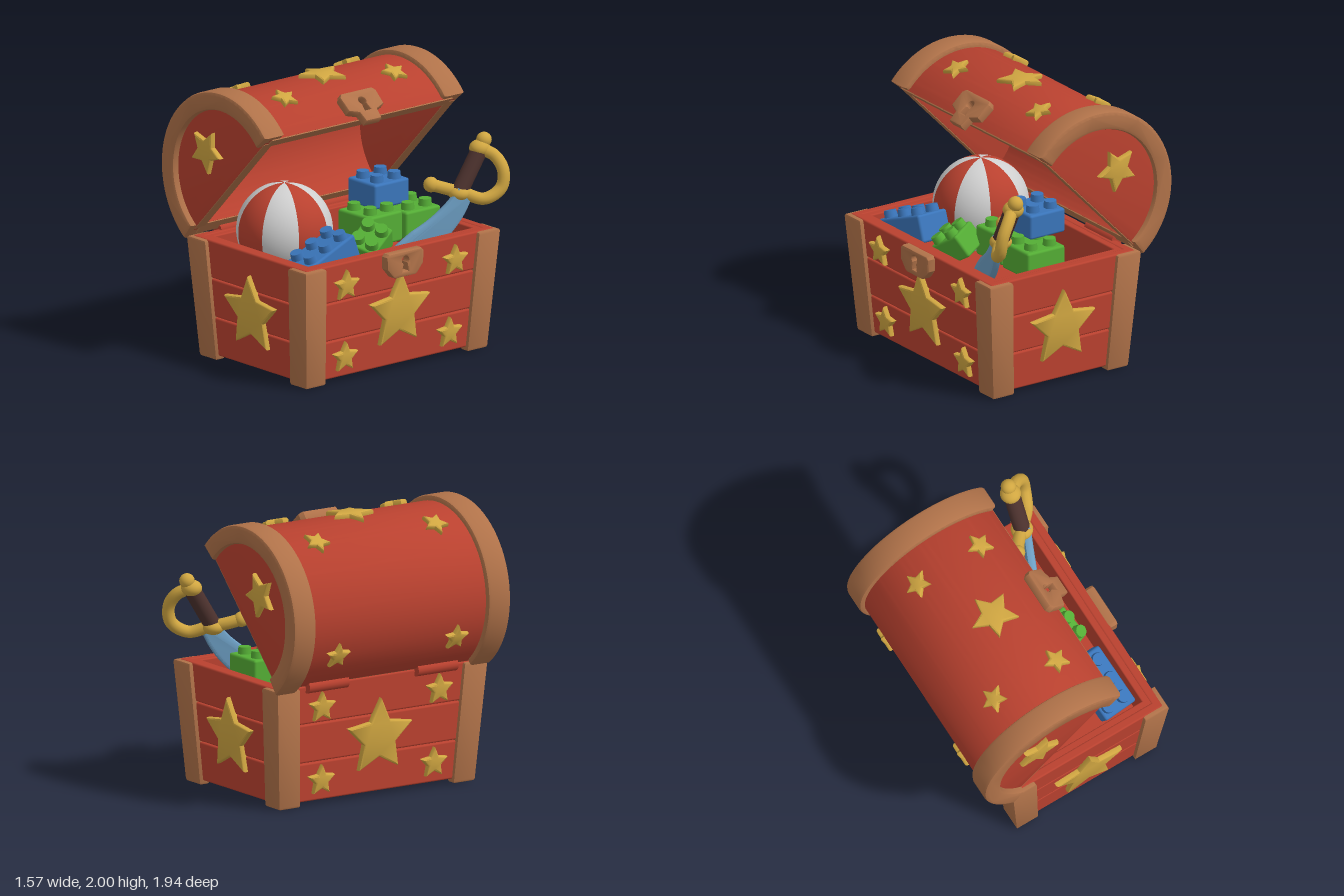
import * as THREE from 'three';
import { toCreasedNormals } from 'three/addons/utils/BufferGeometryUtils.js';
import { RoundedBoxGeometry } from 'three/addons/geometries/RoundedBoxGeometry.js';

const PI = Math.PI, rad = THREE.MathUtils.degToRad;
const CX = 0.105, CZ = 0.045;              // middle of the box
const LX = -0.15, LY = 1.36;               // axis of the lid barrel
const A0 = rad(40), A1 = rad(232);         // opening angles of the lid

function material(name, color) {
  const m = new THREE.MeshStandardMaterial({ color });
  m.name = name;
  return m;
}

function add(parent, name, geometry, mat, x = 0, y = 0, z = 0) {
  const m = new THREE.Mesh(geometry, mat);
  m.name = name;
  m.position.set(x, y, z);
  parent.add(m);
  return m;
}

function group(parent, name, x = 0, y = 0, z = 0) {
  const g = new THREE.Group();
  g.name = name;
  g.position.set(x, y, z);
  parent.add(g);
  return g;
}

// Extrusion with soft edges, filling z = 0..depth
function extrude(shape, depth, b) {
  const g = new THREE.ExtrudeGeometry(shape, {
    depth: depth - 2 * b, bevelEnabled: true, bevelThickness: b, bevelSize: b,
    bevelOffset: -b, bevelSegments: 2, curveSegments: 40,
  });
  g.translate(0, 0, b);
  return toCreasedNormals(g, 0.6);
}

const polygon = pts => new THREE.Shape(pts.map(p => new THREE.Vector2(p[0], p[1])));

function star(R, depth = 0.055) {
  const pts = [];
  for (let i = 0; i < 10; i++) {
    const r = i % 2 ? R * 0.5 : R, a = PI / 2 + i * PI / 5;
    pts.push([r * Math.cos(a), r * Math.sin(a)]);
  }
  return extrude(polygon(pts), depth, 0.016);
}

// Star laid around the barrel of the lid
function wrappedStar(R, angle, z0, flip) {
  const g = star(R), p = g.attributes.position;
  if (flip) g.rotateZ(PI);
  for (let i = 0; i < p.count; i++) {
    const a = angle + p.getY(i) / 0.6, r = 0.58 + p.getZ(i);
    p.setXYZ(i, LX + r * Math.cos(a), LY + r * Math.sin(a), z0 - p.getX(i));
  }
  return toCreasedNormals(g, 0.6);
}

// The box narrows towards the floor
const scaleX = y => 0.89 + 0.11 * y / 0.88;
const scaleZ = y => 0.93 + 0.07 * y / 0.88;
function taper(g) {
  const p = g.attributes.position;
  for (let i = 0; i < p.count; i++) {
    const y = p.getY(i);
    p.setXYZ(i, p.getX(i) * scaleX(y), y, p.getZ(i) * scaleZ(y));
  }
  return g;
}
function taperedBox(x0, x1, y0, y1, z0, z1, r) {
  const g = new RoundedBoxGeometry(x1 - x0, y1 - y0, z1 - z0, 2, r);
  g.translate((x0 + x1) / 2, (y0 + y1) / 2, (z0 + z1) / 2);
  return taper(g);
}

// Plate outline with a keyhole
function keyPlate(pts, ky) {
  const s = polygon(pts), h = new THREE.Path();
  h.moveTo(-0.026, ky - 0.06);
  h.lineTo(0.026, ky - 0.06);
  h.lineTo(0.018, ky);
  h.absarc(0, ky + 0.02, 0.03, -0.8, PI + 0.8, false);
  h.lineTo(-0.018, ky);
  s.holes.push(h);
  return s;
}

function arcBand(r0, r1) {
  const s = new THREE.Shape();
  s.absarc(0, 0, r1, A0, A1, false);
  s.absarc(0, 0, r0, A1, A0, true);
  return s;
}

function brick(parent, name, mat, pos, size, studs, rot) {
  const g = group(parent, name, ...pos);
  g.rotation.set(...rot);
  const [w, h, d] = size, [nx, nz] = studs;
  add(g, name + 'Block', new RoundedBoxGeometry(w, h, d, 2, 0.018), mat);
  for (let i = 0; i < nx; i++) for (let j = 0; j < nz; j++) {
    add(g, name + 'Stud', new THREE.CylinderGeometry(0.044, 0.05, 0.06, 16), mat,
      ((i + 0.5) / nx - 0.5) * w, h / 2 + 0.02, ((j + 0.5) / nz - 0.5) * d);
  }
}

export function createModel() {
  const red = material('red wood', 0xb9412f), brown = material('brown trim', 0xb07249);
  const gold = material('gold', 0xd0a641), white = material('white', 0xcfcfcf);
  const blue = material('blue', 0x3a75ba), green = material('green', 0x54ad35);
  const steel = material('blue steel', 0x6d9fc4), grip = material('dark grip', 0x4d322e);
  const model = new THREE.Group();
  model.name = 'toyChest';

  // Box: planked walls, floor, corner posts
  const box = group(model, 'box', CX, 0, CZ);
  for (const s of [-1, 1]) {
    const xs = (a, b) => s > 0 ? [a, b] : [-b, -a];
    add(box, 'innerWall', taperedBox(...xs(0.505, 0.58), 0.03, 0.875, -0.83, 0.83, 0.01), red);
    add(box, 'innerWall', taperedBox(-0.58, 0.58, 0.03, 0.875, ...xs(0.755, 0.83), 0.01), red);
    for (let i = 0; i < 3; i++) {
      const y0 = 0.03 + i * 0.285, y1 = y0 + 0.28;
      add(box, 'plank', taperedBox(...xs(0.55, 0.615), y0, y1, -0.865, 0.865, 0.014), red);
      add(box, 'plank', taperedBox(-0.615, 0.615, y0, y1, ...xs(0.8, 0.865), 0.014), red);
    }
    for (const t of [-1, 1]) {
      const L = [[0.645, 0.895], [0.645, 0.705], [0.56, 0.705], [0.56, 0.81], [0.45, 0.81], [0.45, 0.895]];
      const g = extrude(polygon(L.map(p => [p[0] * s, p[1] * t])), 0.875, 0.018);
      g.rotateX(-PI / 2);
      add(box, 'cornerPost', taper(g), brown);
    }
  }
  add(box, 'bottom', taperedBox(-0.6, 0.6, 0.03, 0.1, -0.85, 0.85, 0.01), red);
  add(box, 'innerFloor', taperedBox(-0.55, 0.55, 0.55, 0.6, -0.8, 0.8, 0.01), red);

  // Stars on the four walls
  for (let k = 0; k < 4; k++) {
    const side = group(box, 'wallStars'), long = k % 2 === 1;
    side.rotation.y = k * PI / 2;
    const spots = [[0, 0.435, 0.285]];
    if (long) for (const u of [-1, 1]) spots.push([u * 0.5, 0.715, 0.115], [u * 0.48, 0.18, 0.115]);
    for (const [u, y, R] of spots) {
      const d = long ? 0.615 * scaleX(y) : 0.865 * scaleZ(y);
      add(side, 'star', star(R), gold, u, y, d - 0.015).rotation.x = long ? 0.08 : 0.07;
    }
  }

  // Lock on the box
  const lock = [[-0.15, 0.09], [0.15, 0.09], [0.17, 0.07], [0.165, -0.02], [0.11, -0.085],
    [0.09, -0.095], [-0.09, -0.095], [-0.11, -0.085], [-0.165, -0.02], [-0.17, 0.07]];
  add(model, 'lock', extrude(keyPlate(lock, 0.005), 0.075, 0.014), brown, 0.705, 0.79, 0.045).rotation.y = PI / 2;

  // Lid: barrel, end panels, trim bands
  const lid = group(model, 'lid');
  add(lid, 'barrel', extrude(arcBand(0.5, 0.6), 1.7, 0.006), red, LX, LY, -0.8);
  const segment = new THREE.Shape();
  segment.absarc(0, 0, 0.56, A0, A1, false);
  for (const [zPanel, zBand] of [[0.83, 0.78], [-0.84, -0.88]]) {
    add(lid, 'endPanel', extrude(segment, 0.09, 0.006), red, LX, LY, zPanel);
    add(lid, 'trimBand', extrude(arcBand(0.505, 0.64), 0.19, 0.025), brown, LX, LY, zBand);
    // Trim along the straight edge of the end panel
    const m = (A0 + A1) / 2, d = -0.058;
    add(lid, 'endEdge', new THREE.BoxGeometry(1.08, 0.009, 0.085), brown,
      LX + d * Math.cos(m), LY + d * Math.sin(m), zPanel + 0.045).rotation.z = m - PI / 2;
  }
  for (const a of [A0 - 0.006, A1 + 0.006]) {
    add(lid, 'rimEdge', new THREE.BoxGeometry(0.098, 0.009, 1.66), brown,
      LX + 0.55 * Math.cos(a), LY + 0.55 * Math.sin(a), CZ).rotation.z = a;
  }

  // Lid stars
  add(lid, 'topStar', wrappedStar(0.175, rad(89), 0.04), gold);
  for (const z of [-0.46, 0.55]) for (const a of [70, 120, 203]) {
    add(lid, 'smallStar', wrappedStar(0.1, rad(a), z, a > 136), gold);
  }
  add(lid, 'endStar', star(0.165), gold, -0.33, 1.535, 0.905).rotation.z = rad(46);
  add(lid, 'endStar', star(0.165), gold, -0.33, 1.535, -0.825).rotation.set(0, PI, -rad(46));

  // Latch and hinges
  const latch = [[-0.14, 0.13], [0.14, 0.13], [0.165, 0.1], [0.16, -0.02], [0.08, -0.05],
    [0.07, -0.13], [-0.07, -0.13], [-0.08, -0.05], [-0.16, -0.02], [-0.165, 0.1]];
  const plate = add(lid, 'latch', extrude(keyPlate(latch, 0.02), 0.07, 0.014), brown, 0.29, 1.8, 0.04);
  plate.rotation.order = 'ZYX';
  plate.rotation.set(0, PI / 2, rad(50));
  for (const z of [-0.42, 0.51]) {
    const h = add(model, 'hinge', new THREE.CylinderGeometry(0.045, 0.045, 0.34, 16), red, -0.515, 0.875, z);
    h.rotation.x = PI / 2;
  }

  // Ball with eight panels
  const ball = group(model, 'ball', -0.07, 0.93, 0.44);
  for (let i = 0; i < 8; i++) {
    add(ball, 'ballPanel', new THREE.SphereGeometry(0.34, 8, 32, rad(67 + 45 * i), PI / 4), i % 2 ? white : red);
  }

  // Bricks
  brick(model, 'tiltedBlueBrick', blue, [0.44, 0.83, 0.52], [0.26, 0.2, 0.47], [2, 3], [0.35, 0.08, 0]);
  brick(model, 'tiltedGreenBrick', green, [0.4, 0.85, 0.05], [0.22, 0.18, 0.27], [2, 2], [0.55, 0.2, -0.45]);
  brick(model, 'greenBrick', green, [0.13, 0.89, -0.18], [0.34, 0.22, 0.31], [2, 2], [0, 0.03, 0]);
  brick(model, 'backGreenBrick', green, [0.15, 0.88, -0.52], [0.32, 0.2, 0.32], [2, 2], [0, 0, 0]);
  brick(model, 'topBlueBrick', blue, [0.02, 1.09, -0.35], [0.3, 0.18, 0.32], [2, 2], [0, 0, 0]);

  // Sword: curved blade, grip, guard bow, pommel
  const sword = group(model, 'sword');
  const b = new THREE.Shape();
  b.moveTo(0.01, 1.17);
  b.quadraticCurveTo(-0.1, 1.0, -0.33, 0.88);
  b.quadraticCurveTo(-0.5, 0.76, -0.6, 0.64);
  b.quadraticCurveTo(-0.2, 0.66, -0.03, 0.86);
  b.quadraticCurveTo(0.07, 0.97, 0.12, 1.12);
  add(sword, 'blade', extrude(b, 0.06, 0.02), steel, 0.52, 0, -0.63).rotation.y = rad(68.8);

  const V = (x, y, z) => new THREE.Vector3(x, y, z);
  const straight = new THREE.LineCurve3(V(0.53, 1.11, -0.65), V(0.55, 1.41, -0.83));
  add(sword, 'grip', new THREE.TubeGeometry(straight, 4, 0.06, 16), grip);
  const bow = new THREE.CatmullRomCurve3([V(0.4, 1.18, -0.51), V(0.46, 1.15, -0.59), V(0.55, 1.12, -0.68),
    V(0.65, 1.08, -0.79), V(0.7, 1.15, -0.9), V(0.695, 1.27, -0.925), V(0.63, 1.37, -0.9), V(0.55, 1.42, -0.83)]);
  add(sword, 'guard', new THREE.TubeGeometry(bow, 48, 0.045, 12), gold);
  const ball1 = (name, r, x, y, z) => add(sword, name, new THREE.SphereGeometry(r, 20, 14), gold, x, y, z);
  ball1('guardKnob', 0.055, 0.4, 1.18, -0.51);
  ball1('guardCentre', 0.08, 0.53, 1.12, -0.66).scale.y = 0.7;
  ball1('gripCap', 0.075, 0.545, 1.42, -0.835).scale.y = 0.8;
  ball1('pommel', 0.055, 0.55, 1.475, -0.87);
  return model;
}
